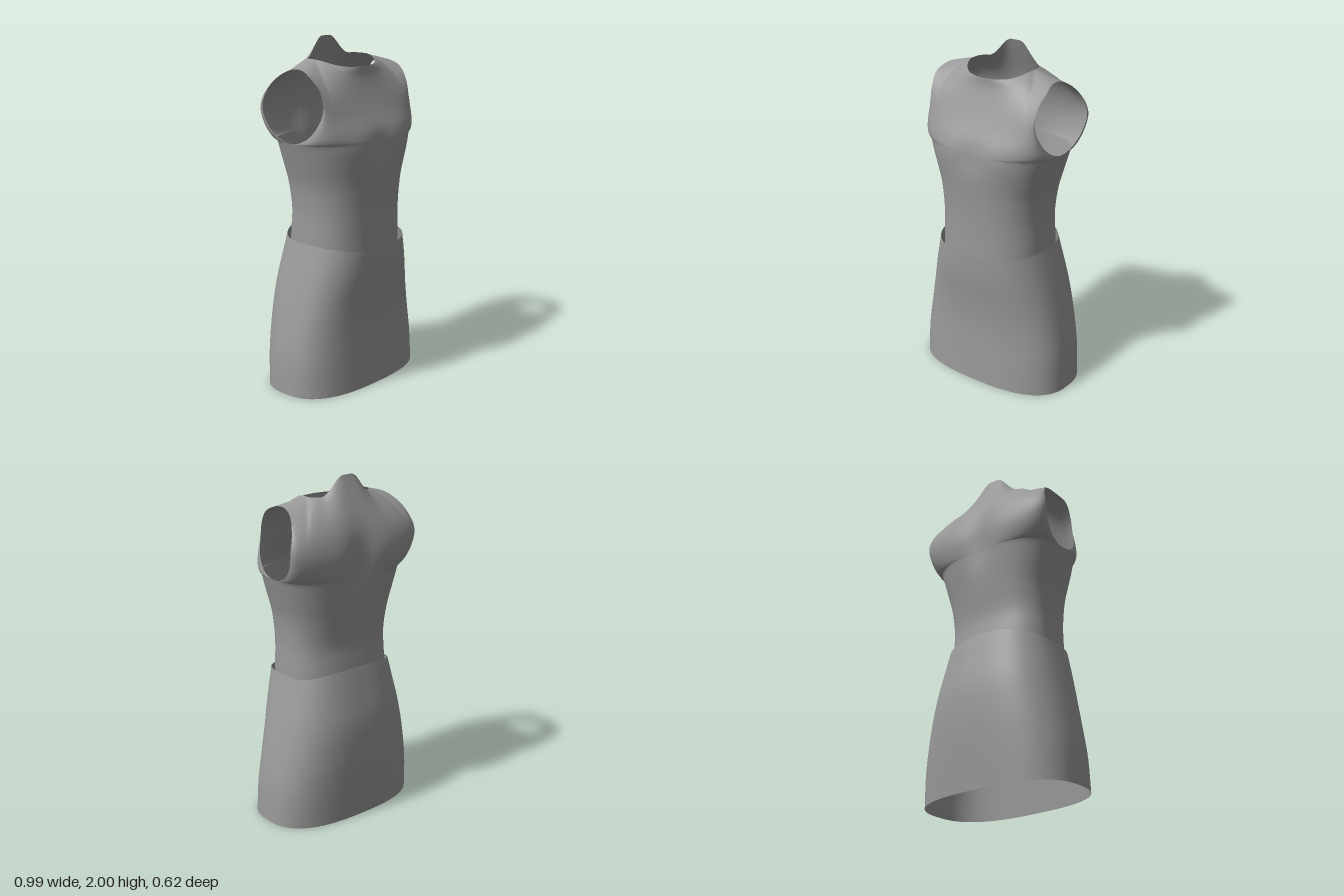
import * as THREE from 'three';
import { mergeGeometries, mergeVertices } from 'three/addons/utils/BufferGeometryUtils.js';

// Smooth interpolation through [y, value] pairs
function profile(keys) {
  const n = keys.length - 1;
  const slope = (i) => {
    const a = keys[Math.max(i - 1, 0)], b = keys[Math.min(i + 1, n)];
    return (b[1] - a[1]) / (b[0] - a[0]);
  };
  return (y) => {
    let i = 0;
    while (i < n - 1 && y > keys[i + 1][0]) i++;
    const [y0, v0] = keys[i], [y1, v1] = keys[i + 1];
    const h = y1 - y0, t = THREE.MathUtils.clamp((y - y0) / h, 0, 1);
    const t2 = t * t, t3 = t2 * t;
    return v0 * (2 * t3 - 3 * t2 + 1) + v1 * (3 * t2 - 2 * t3)
      + h * (slope(i) * (t3 - 2 * t2 + t) + slope(i + 1) * (t3 - t2));
  };
}

// Grid surface from a point rule, u across and v up, both 0..1
function grid(rule, nu, nv) {
  const pos = [], index = [];
  for (let j = 0; j <= nv; j++) {
    for (let i = 0; i <= nu; i++) pos.push(...rule(i / nu, j / nv));
  }
  for (let j = 0; j < nv; j++) {
    for (let i = 0; i < nu; i++) {
      const a = j * (nu + 1) + i, b = a + 1, c = a + nu + 1, d = c + 1;
      index.push(a, b, d, a, d, c);
    }
  }
  const g = new THREE.BufferGeometry();
  g.setAttribute('position', new THREE.Float32BufferAttribute(pos, 3));
  g.setIndex(index);
  return g;
}

function weld(geometries) {
  const g = mergeVertices(mergeGeometries(geometries), 1e-4);
  g.computeVertexNormals();
  return g;
}

const spow = (x, p) => Math.sign(x) * Math.pow(Math.abs(x), p);
const gauss = (x, r) => Math.exp(-(x * x) / (r * r));
const { smoothstep, lerp } = THREE.MathUtils;

// Bodice measurements
const ARM_LOW = 1.45, ARM_MID = 1.65, ARM_R = 0.2;
const sideWidth = profile([[0.78, 0.335], [0.9, 0.333], [1.05, 0.33], [1.2, 0.345], [1.32, 0.377], [1.45, 0.415]]);
const front = {
  sign: 1,
  armWidth: profile([[1.45, 0.415], [1.55, 0.385], [1.65, 0.36], [1.75, 0.365], [1.82, 0.376], [1.85, 0.36]]),
  depth: profile([[0.78, 0.28], [1.0, 0.28], [1.2, 0.29], [1.42, 0.311], [1.5, 0.293], [1.6, 0.243], [1.7, 0.2], [1.8, 0.165], [1.85, 0.16]]),
  dip: (x, y) => 0.018 * gauss(x, 0.1) * gauss(y - 1.42, 0.09),
  neck: (f) => [0.21 * Math.sin(f), 1.85 + 0.04 * Math.sin(f) ** 4, -0.02 + 0.185 * Math.cos(f)],
};
const back = {
  sign: -1,
  armWidth: profile([[1.45, 0.415], [1.55, 0.435], [1.65, 0.445], [1.75, 0.415], [1.8, 0.39], [1.85, 0.36]]),
  depth: profile([[0.78, 0.225], [0.92, 0.215], [1.05, 0.205], [1.2, 0.225], [1.4, 0.26], [1.55, 0.281], [1.65, 0.27], [1.75, 0.235], [1.85, 0.17]]),
  dip: (x, y) => 0.035 * gauss(x, 0.1) * gauss(y - 1.53, 0.18),
  neck: (f) => {
    const x = 0.21 * Math.sin(f);
    return [x, 2.0 - 0.11 * smoothstep(x, 0.03, 0.17), -0.02 - 0.108 * Math.sqrt(Math.max(Math.cos(f), 0))];
  },
};

// Neckline and shoulder line; s runs 0 at the centre to 1 at the shoulder tip
function topEdge(panel, s) {
  const k = 0.6;
  if (s <= k) return panel.neck((s / k) * Math.PI / 2);
  const t = (s - k) / (1 - k);
  return [lerp(0.21, 0.36, t), lerp(1.89, 1.85, t), lerp(-0.02, 0, t)];
}

// One front or back panel: waist to underarm, then armhole edge to shoulder
function bodicePanel(panel) {
  const split = 0.5;
  const base = (s, y, armZ) => {
    const a = s * Math.PI / 2;
    const w = y <= ARM_LOW ? sideWidth(y) : panel.armWidth(y);
    const x = w * Math.pow(Math.sin(a), 0.8);
    const c = s === 1 ? 0 : Math.pow(Math.cos(a), 0.8);
    const z = armZ + (panel.depth(y) - armZ) * c - panel.dip(x, y);
    return [x, y, panel.sign * z];
  };
  return grid((u, v) => {
    const side = u * 2 - 1, s = Math.abs(side);
    let p;
    if (v <= split) {
      p = base(s, lerp(0.78, ARM_LOW, v / split), 0);
    } else {
      const t = (v - split) / (1 - split);
      p = base(s, ARM_MID - ARM_R * Math.cos(Math.PI * t), 0.19 * Math.sin(Math.PI * t));
      const end = base(s, ARM_MID + ARM_R, 0), top = topEdge(panel, s);
      const blend = smoothstep(t, 0.4, 1) ** 2;
      p = p.map((q, i) => q + (top[i] - end[i]) * blend);
    }
    p[0] *= Math.sign(side) * panel.sign;
    return p;
  }, 60, 56);
}

// Skirt: rounded-rectangle rings flaring to the hem, higher waist at the back
function skirtSurface() {
  const width = profile([[0, 0.495], [0.2, 0.484], [0.4, 0.45], [0.6, 0.405], [0.75, 0.368], [0.87, 0.338], [0.93, 0.325]]);
  const frontZ = profile([[0, 0.285], [0.2, 0.276], [0.35, 0.272], [0.5, 0.28], [0.7, 0.304], [0.84, 0.311], [0.93, 0.31]]);
  const backZ = profile([[0, 0.29], [0.2, 0.302], [0.4, 0.311], [0.6, 0.305], [0.8, 0.27], [0.92, 0.245]]);
  return grid((u, v) => {
    const a = u * Math.PI * 2, c = Math.cos(a);
    const top = 0.868 + (c > 0 ? -0.033 : 0.05) * c * c;
    const y = v * top;
    return [width(y) * spow(Math.sin(a), 0.76), y, (c > 0 ? frontZ(y) : backZ(y)) * spow(c, 0.76)];
  }, 96, 28);
}

export function createModel() {
  const fabric = new THREE.MeshStandardMaterial({ color: 0x999999, side: THREE.DoubleSide });
  fabric.name = 'grey fabric';
  const model = new THREE.Group();
  model.name = 'dress';

  const bodice = new THREE.Mesh(weld([bodicePanel(front), bodicePanel(back)]), fabric);
  bodice.name = 'bodice';
  const skirt = new THREE.Mesh(weld([skirtSurface()]), fabric);
  skirt.name = 'skirt';
  model.add(bodice, skirt);
  return model;
}
